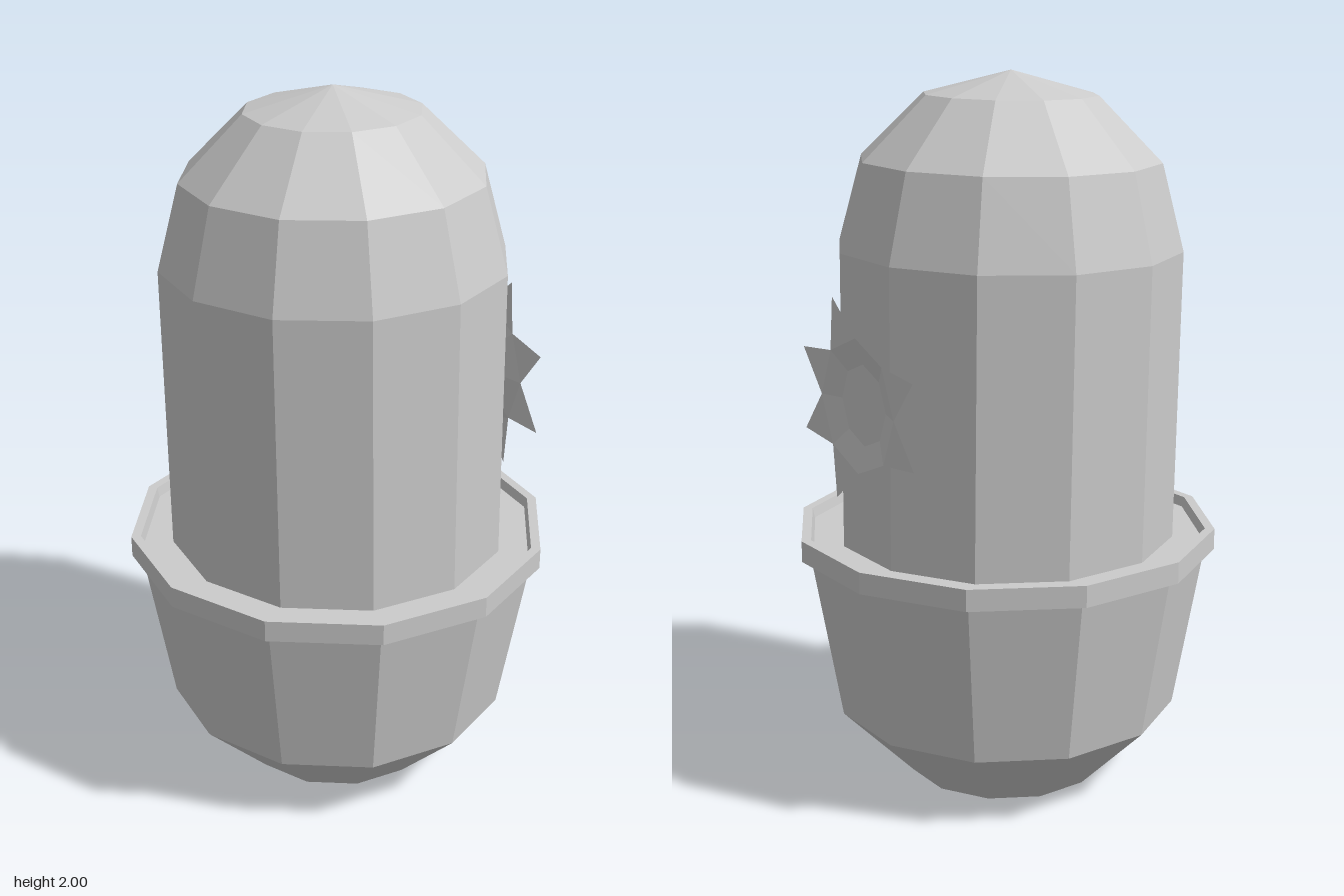
import * as THREE from 'three';

const SIDES = 12;
const material = new THREE.MeshStandardMaterial({ color: 0xcccccc, flatShading: true });
const thinMaterial = new THREE.MeshStandardMaterial({ color: 0xcccccc, flatShading: true, side: THREE.DoubleSide });

// Faceted turned part from [radius, height] pairs, listed bottom to top
function turned(name, profile) {
  const points = profile.map(([r, y]) => new THREE.Vector2(r, y));
  const mesh = new THREE.Mesh(new THREE.LatheGeometry(points, SIDES), material);
  mesh.name = name;
  return mesh;
}

// Eight-petalled flower facing +z: flat centre, sloping collar, pointed petals
function createFlower() {
  const petals = 8, step = (Math.PI * 2) / petals, lift = 0.022;
  const at = (r, a, z) => [Math.sin(a) * r, Math.cos(a) * r, z];
  const centre = [], collar = [], tips = [];
  for (let i = 0; i < petals; i++) {
    const a = i * step, b = a + step;
    const in0 = at(0.112, a, 0), in1 = at(0.112, b, 0);
    const out0 = at(0.185, a, lift), out1 = at(0.185, b, lift);
    const tip = at(0.302, a + step / 2, lift);
    centre.push(0, 0, 0, ...in1, ...in0);
    collar.push(...in0, ...in1, ...out1, ...in0, ...out1, ...out0);
    tips.push(...out0, ...out1, ...tip);
  }
  const flower = new THREE.Group();
  flower.name = 'flower';
  for (const [name, data] of [['flowerCentre', centre], ['flowerCollar', collar], ['flowerPetals', tips]]) {
    const geometry = new THREE.BufferGeometry();
    geometry.setAttribute('position', new THREE.Float32BufferAttribute(data, 3));
    geometry.computeVertexNormals();
    const mesh = new THREE.Mesh(geometry, thinMaterial);
    mesh.name = name;
    flower.add(mesh);
  }
  return flower;
}

export function createModel() {
  const model = new THREE.Group();
  model.name = 'pottedCactus';

  // Pot with chamfered foot and projecting rim
  model.add(turned('pot', [
    [0, 0], [0.285, 0], [0.49, 0.21], [0.57, 0.68],
    [0.597, 0.68], [0.597, 0.74], [0.57, 0.74], [0.56, 0.69],
  ]));
  model.add(turned('soil', [[0.563, 0.712], [0, 0.712]]));

  // Domed cactus body, leaning back very slightly
  const radius = 0.478, shoulder = 0.83;
  const profile = [[radius, 0]];
  for (let i = 0; i <= 3; i++) {
    const a = (i * Math.PI) / 6;
    profile.push([i === 3 ? 0 : Math.cos(a) * radius, shoulder + Math.sin(a) * 0.472]);
  }
  const body = turned('cactusBody', profile);
  body.position.set(0, 0.698, -0.001);
  body.rotation.x = -0.015;
  model.add(body);

  // Flower on the left side facet
  const flower = createFlower();
  const angle = THREE.MathUtils.degToRad(75);
  flower.rotation.y = angle;
  flower.position.set(Math.sin(angle) * 0.463, 1.14, Math.cos(angle) * 0.463 - 0.003);
  model.add(flower);

  return model;
}
